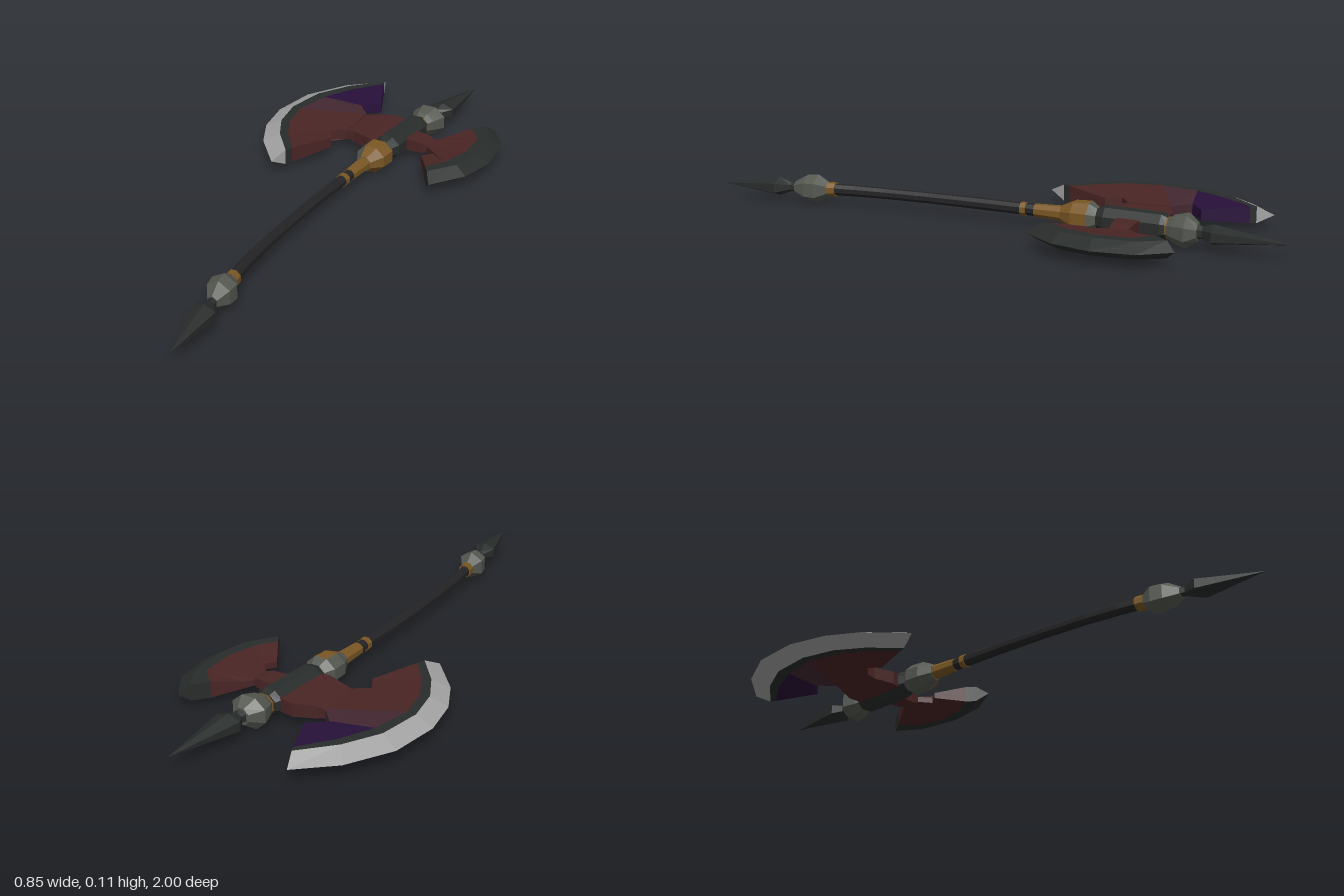
import * as THREE from 'three';

const MID = 0.055; // height of the weapon's middle plane
const mat = (name, color) => Object.assign(new THREE.MeshStandardMaterial({ color }), { name });
const silver = mat('edge silver', 0xa3a3a3);
const red = mat('dark red', 0x4a2525);
const plum = mat('plum', 0x432831);
const purple = mat('purple', 0x28103a);
const black = mat('blackened steel', 0x282c2a);
const grip = mat('grip black', 0x232325);
const grey = mat('grey iron', 0x545850);
const gold = mat('dull gold', 0x7a5724);

// Faceted geometry from quads; each quad carries its material index
function quadMesh(name, quads, materials) {
  const pos = [], geo = new THREE.BufferGeometry();
  materials.forEach((m, k) => {
    const start = pos.length / 3;
    for (const [q, index] of quads) {
      if (index !== k) continue;
      for (const c of [0, 1, 2, 0, 2, 3]) pos.push(...q[c]);
    }
    geo.addGroup(start, pos.length / 3 - start, k);
  });
  geo.setAttribute('position', new THREE.Float32BufferAttribute(pos, 3));
  geo.computeVertexNormals();
  const mesh = new THREE.Mesh(geo, materials);
  mesh.name = name;
  return mesh;
}

// Faceted rod through stations [z, x, radiusX, radiusY], ordered by rising z
function rod(name, stations, sides, materials, pick = () => 0) {
  const rings = stations.map(([z, x, rx, ry = rx]) => Array.from({ length: sides }, (_, j) => {
    const a = ((j + 0.5) / sides) * Math.PI * 2;
    return [x + rx * Math.cos(a), MID + ry * Math.sin(a), z];
  }));
  const centre = (s) => [s[1], MID, s[0]];
  const quads = [], last = rings.length - 1;
  for (let j = 0; j < sides; j++) {
    const k = (j + 1) % sides;
    for (let i = 0; i < last; i++) {
      quads.push([[rings[i][j], rings[i][k], rings[i + 1][k], rings[i + 1][j]], pick(i, j)]);
    }
    const c0 = centre(stations[0]), c1 = centre(stations[last]);
    quads.push([[c0, rings[0][k], rings[0][j], c0], 0]);
    quads.push([[c1, rings[last][j], rings[last][k], c1], 0]);
  }
  return quadMesh(name, quads, materials);
}

// Plate between rows of [x, z], each row with its own half thickness, closed all round
function plate(name, rows, heights, materials, pick = () => 0) {
  const up = (r, i, s) => [rows[r][i][0], MID + s * heights[r][i], rows[r][i][1]];
  const quads = [], n = rows[0].length - 1, last = rows.length - 1;
  for (let r = 0; r < last; r++) {
    for (let i = 0; i < n; i++) {
      const p = (s) => [up(r, i, s), up(r, i + 1, s), up(r + 1, i + 1, s), up(r + 1, i, s)];
      quads.push([p(1), pick(r, i)], [p(-1).reverse(), pick(r, i)]);
      if (r === last - 1) {
        quads.push([[up(last, i, 1), up(last, i + 1, 1), up(last, i + 1, -1), up(last, i, -1)], pick(r, i)]);
      }
    }
    quads.push([[up(r, 0, 1), up(r + 1, 0, 1), up(r + 1, 0, -1), up(r, 0, -1)], pick(r, 0)]);
    quads.push([[up(r, n, -1), up(r + 1, n, -1), up(r + 1, n, 1), up(r, n, 1)], pick(r, n - 1)]);
  }
  return quadMesh(name, quads, materials);
}
const even = (rows, hs) => rows.map((row, r) => row.map(() => hs[r]));

export function createModel() {
  const group = new THREE.Group();
  group.name = 'doubleAxe';

  // Large crescent blade: sharp edge, bevel line, dark stripe, back edge
  const big = [
    [[-0.19, -0.89], [-0.31, -0.79], [-0.4, -0.645], [-0.427, -0.48], [-0.405, -0.345], [-0.35, -0.23], [-0.243, -0.106]],
    [[-0.17, -0.835], [-0.27, -0.735], [-0.34, -0.62], [-0.367, -0.476], [-0.347, -0.355], [-0.298, -0.26], [-0.217, -0.16]],
    [[-0.163, -0.815], [-0.245, -0.715], [-0.305, -0.605], [-0.335, -0.475], [-0.318, -0.365], [-0.274, -0.277], [-0.206, -0.185]],
    [[-0.1, -0.67], [-0.13, -0.65], [-0.16, -0.625], [-0.11, -0.57], [-0.11, -0.42], [-0.16, -0.385], [-0.13, -0.335]],
  ];
  group.add(plate('largeBlade', big, even(big, [0, 0.028, 0.028, 0.018]), [silver, black, purple, plum, red],
    (r, i) => (r < 2 ? r : [2, 2, 3, 4, 4, 4][i])));

  // Neck joining the large blade to the head
  const neck = [
    [[-0.12, -0.57], [-0.12, -0.42]],
    [[-0.08, -0.575], [-0.08, -0.415]],
    [[-0.01, -0.6], [-0.01, -0.39]],
    [[0.06, -0.59], [0.06, -0.4]],
  ];
  group.add(plate('largeBladeNeck', neck, even(neck, [0.013, 0.021, 0.023, 0.023]), [red]));

  // Small rear blade
  const small = [
    [[0.305, -0.215], [0.39, -0.33], [0.425, -0.46], [0.412, -0.6], [0.345, -0.7]],
    [[0.28, -0.255], [0.35, -0.345], [0.375, -0.455], [0.367, -0.585], [0.32, -0.67]],
    [[0.26, -0.285], [0.305, -0.345], [0.338, -0.45], [0.335, -0.565], [0.28, -0.623]],
    [[0.2, -0.38], [0.23, -0.415], [0.19, -0.45], [0.19, -0.515], [0.215, -0.545]],
  ];
  group.add(plate('smallBlade', small, even(small, [0, 0.028, 0.028, 0.01]), [black, red],
    (r) => (r < 2 ? 0 : 1)));
  const bar = [
    [[0.2, -0.455], [0.2, -0.51]],
    [[0.165, -0.45], [0.165, -0.52]],
    [[0.08, -0.45], [0.08, -0.53]],
  ];
  group.add(plate('smallBladeNeck', bar, even(bar, [0.01, 0.02, 0.022]), [red]));

  // Head block and the iron knobs around it
  group.add(rod('headBlock', [[-0.61, 0.08, 0.038], [-0.59, 0.078, 0.05, 0.046], [-0.4, 0.06, 0.05, 0.046],
    [-0.37, 0.057, 0.035]], 8, [black]));
  group.add(rod('topKnob', [[-0.71, 0.1, 0.03], [-0.675, 0.095, 0.065, 0.057], [-0.63, 0.089, 0.045],
    [-0.605, 0.086, 0.03]], 8, [grey]));
  group.add(rod('topCollar', [[-0.615, 0.085, 0.036], [-0.6, 0.083, 0.036]], 8, [gold]));
  group.add(rod('lowerKnob', [[-0.375, 0.057, 0.035], [-0.345, 0.054, 0.057, 0.053], [-0.29, 0.05, 0.055, 0.05],
    [-0.245, 0.045, 0.028]], 8, [grey, gold], (i, j) => (i > 0 && (j < 2 || j > 5) ? 1 : 0)));

  // Curved handle with gold bands
  group.add(rod('handle', [[-0.25, 0.045, 0.02], [-0.1, 0.036, 0.02], [0.06, 0.027, 0.02], [0.24, 0.022, 0.019],
    [0.4, 0.023, 0.019], [0.52, 0.029, 0.02], [0.63, 0.041, 0.02]], 8, [grip]));
  group.add(rod('upperBand', [[-0.25, 0.045, 0.026], [-0.15, 0.039, 0.022]], 8, [gold]));
  group.add(rod('middleBand', [[-0.12, 0.037, 0.023], [-0.1, 0.036, 0.023]], 8, [gold]));
  group.add(rod('bottomBand', [[0.585, 0.036, 0.025], [0.615, 0.04, 0.025]], 8, [gold]));
  group.add(rod('bottomKnob', [[0.612, 0.04, 0.025], [0.65, 0.043, 0.05], [0.69, 0.047, 0.046],
    [0.735, 0.053, 0.02]], 6, [grey]));

  // Pointed spikes at both ends
  group.add(rod('topSpike', [[-1, 0.138, 0.001], [-0.76, 0.108, 0.05, 0.032], [-0.725, 0.102, 0.02],
    [-0.7, 0.1, 0.026]], 6, [black]));
  group.add(rod('bottomSpike', [[0.725, 0.052, 0.018], [0.75, 0.056, 0.016], [0.795, 0.063, 0.046, 0.032],
    [1, 0.087, 0.001]], 6, [black]));
  return group;
}
